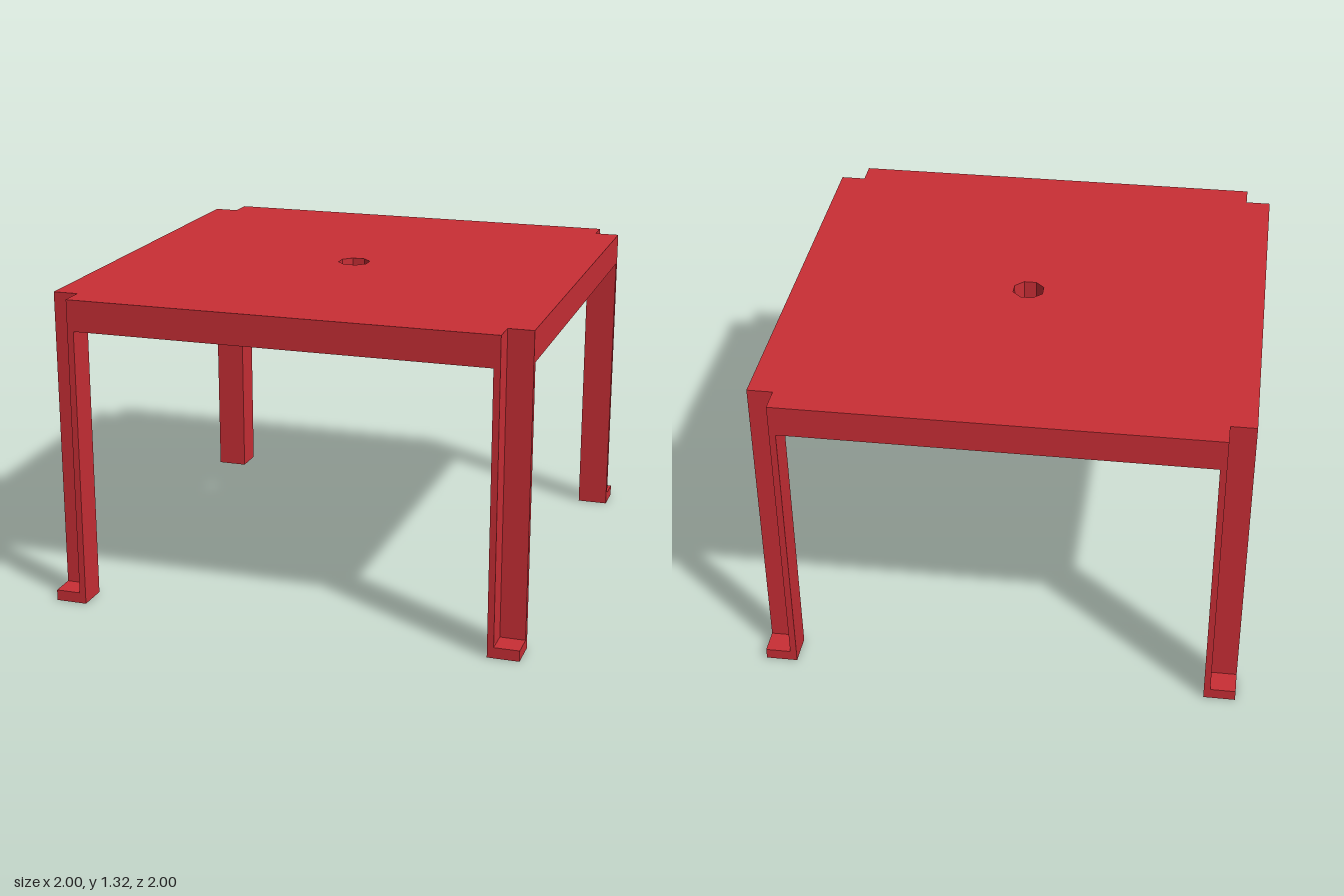
import * as THREE from 'three';

const HALF = 1, NOTCH = 0.895, INNER = 0.868;      // plan distances from the centre
const TOP = 1.318, UNDER = 1.187, FOOT = 0.046;    // heights

export function createModel() {
  const table = new THREE.Group();
  table.name = 'table';
  const red = new THREE.MeshStandardMaterial({ color: 0xc92e35, flatShading: true });

  // Upright prism with the given plan outline, between two heights
  const prism = (name, points, bottom, top, hole) => {
    const shape = new THREE.Shape(points.map(([x, z]) => new THREE.Vector2(x, -z)));
    if (hole) shape.holes.push(new THREE.Path(hole));
    const geometry = new THREE.ExtrudeGeometry(shape, { depth: top - bottom, bevelEnabled: false });
    geometry.rotateX(-Math.PI / 2).translate(0, bottom, 0);
    const mesh = new THREE.Mesh(geometry, red);
    mesh.name = name;
    return mesh;
  };

  // Thick top with square corner notches and an octagonal centre hole
  const outline = [];
  for (let i = 0; i < 4; i++) {
    for (const [x, z] of [[HALF, NOTCH], [NOTCH, NOTCH], [NOTCH, HALF]]) {
      const c = [1, 0, -1, 0][i], s = [0, 1, 0, -1][i];
      outline.push([x * c - z * s, x * s + z * c]);
    }
  }
  const hole = Array.from({ length: 8 }, (_, i) => {
    const a = (i + 0.5) * Math.PI / 4;
    return new THREE.Vector2(Math.cos(a), Math.sin(a)).multiplyScalar(0.068);
  });
  table.add(prism('tableTop', outline, UNDER, TOP, hole));

  // Angle-section legs, open towards the outer corner, each on a square foot
  const angle = [[INNER, INNER], [HALF, INNER], [HALF, NOTCH], [NOTCH, NOTCH], [NOTCH, HALF], [INNER, HALF]];
  const square = [[INNER, INNER], [HALF, INNER], [HALF, HALF], [INNER, HALF]];
  ['FrontLeft', 'BackLeft', 'BackRight', 'FrontRight'].forEach((corner, i) => {
    const leg = new THREE.Group();
    leg.name = 'leg' + corner;
    leg.add(prism('angleLeg', angle, FOOT, UNDER), prism('foot', square, 0, FOOT));
    leg.rotation.y = i * Math.PI / 2;
    table.add(leg);
  });
  return table;
}
